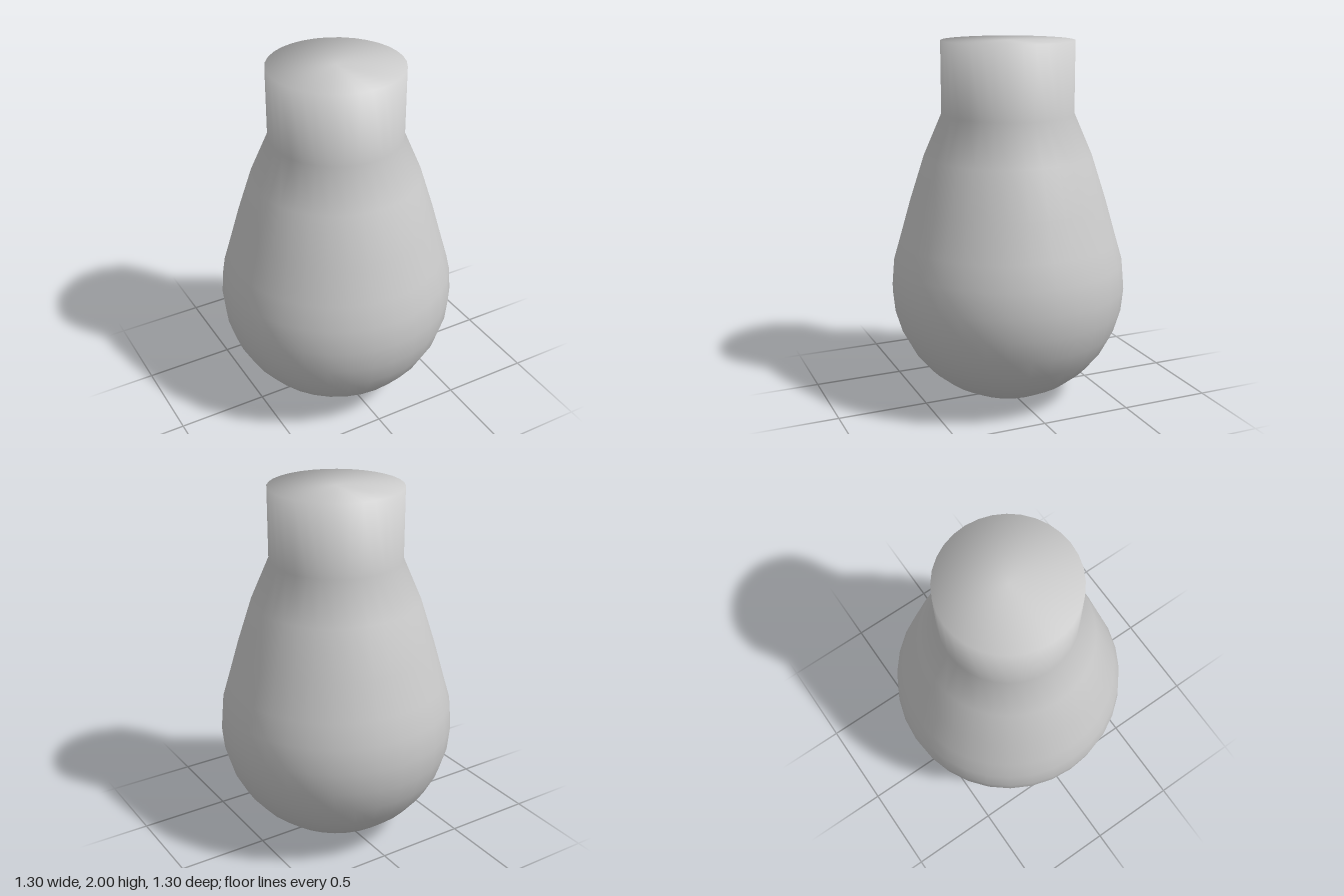
import * as THREE from 'three';

const SEGMENTS = 32;
const RADIUS = 0.65;

export function createModel() {
  const group = new THREE.Group();
  group.name = 'bulb';

  // Round lower half: a quarter circle from the pole to the widest ring
  const profile = [];
  for (let i = 0; i <= 8; i++) {
    const a = (i / 8) * Math.PI / 2;
    profile.push(new THREE.Vector2(RADIUS * Math.sin(a), RADIUS * (1 - Math.cos(a))));
  }

  // Tapering shoulder, straight neck and flat closed top
  const upper = [
    [0.638, 0.79], [0.6, 0.92], [0.54, 1.13], [0.46, 1.38],
    [0.361, 1.61], [0.361, 2], [0, 2],
  ];
  for (const [r, y] of upper) profile.push(new THREE.Vector2(r, y));

  // Lathe normals run smoothly over the neck rim into the top
  const geometry = new THREE.LatheGeometry(profile, SEGMENTS);
  const material = new THREE.MeshStandardMaterial({ color: 0xcccccc });
  const body = new THREE.Mesh(geometry, material);
  body.name = 'bulbBodyWithNeck';
  group.add(body);

  return group;
}
